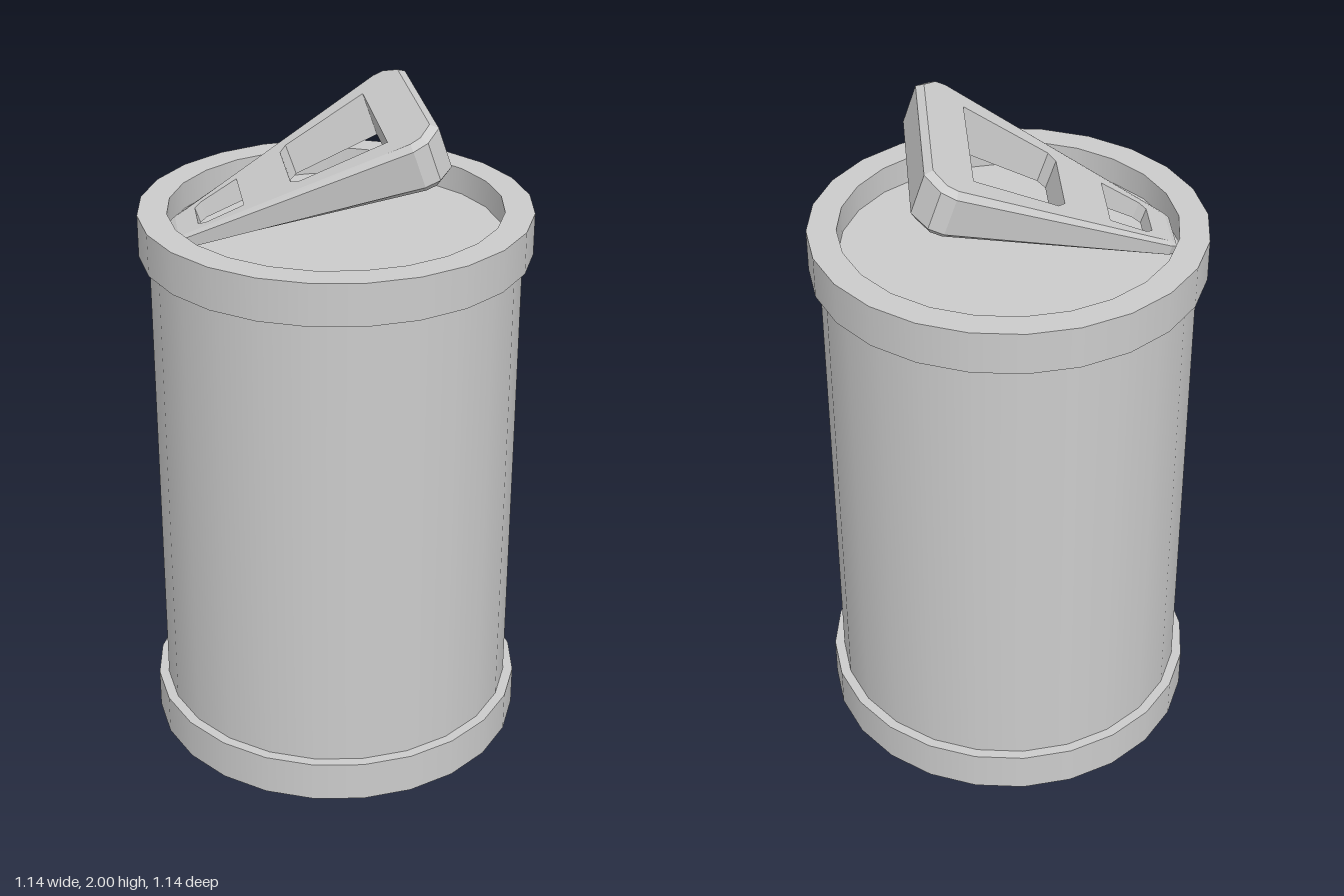
import * as THREE from 'three';

const SIDES = 24;
const material = new THREE.MeshStandardMaterial({ color: 0xcccccc });

// Revolves each run of profile points on its own, so edges between runs stay sharp
function revolve(name, runs) {
  const part = new THREE.Group();
  part.name = name;
  runs.forEach((run, i) => {
    const geometry = new THREE.LatheGeometry(run.map(([r, y]) => new THREE.Vector2(r, y)), SIDES);
    const mesh = new THREE.Mesh(geometry, material);
    mesh.name = `${name}Surface${i + 1}`;
    part.add(mesh);
  });
  return part;
}

// Turns a profile into separate straight runs
const straightRuns = (points) => points.slice(1).map((p, i) => [points[i], p]);

// Completes half an outline by mirroring it across the tab's centre line
const mirrored = (half) => [...half, ...half.map(([u, w]) => [u, -w]).reverse()];

// Wedge-shaped pull tab with bevelled rims and two windows
function createTab() {
  const outer = mirrored([[0, 0.08], [0.017, 0.095], [0.70, 0.328], [0.745, 0.32], [0.79, 0.26]]);
  const inset = mirrored([[0.015, 0.068], [0.027, 0.079], [0.70, 0.308], [0.732, 0.302], [0.77, 0.25]]);
  const windows = [
    mirrored([[0.079, 0.06], [0.1, 0.08], [0.219, 0.105]]),
    mirrored([[0.364, 0.12], [0.386, 0.15], [0.649, 0.215]]),
  ];
  const positions = [];

  // Thickness grows along the tab; t runs from underside (0) to top (1)
  const at = ([u, w], t) => [u, t * (0.035 + 0.152 * u), w];
  const triangle = (a, b, c) => positions.push(...a, ...b, ...c);

  const band = (low, tLow, high, tHigh) => low.forEach((p, i) => {
    const j = (i + 1) % low.length;
    const a = at(p, tLow), b = at(low[j], tLow), c = at(high[j], tHigh), d = at(high[i], tHigh);
    triangle(a, b, c);
    triangle(a, c, d);
  });

  const cap = (t) => {
    const flat = (loop) => loop.map(([u, w]) => new THREE.Vector2(u, w));
    const points = [inset, ...windows].flat();
    for (const face of THREE.ShapeUtils.triangulateShape(flat(inset), windows.map(flat))) {
      const [a, b, c] = face.map((i) => points[i]);
      const turn = (b[0] - a[0]) * (c[1] - a[1]) - (b[1] - a[1]) * (c[0] - a[0]);
      const facesUp = turn < 0;
      if (facesUp === (t === 1)) triangle(at(a, t), at(b, t), at(c, t));
      else triangle(at(a, t), at(c, t), at(b, t));
    }
  };

  // Lower bevel, side wall, upper bevel
  band(inset, 0, outer, 0.12);
  band(outer, 0.12, outer, 0.88);
  band(outer, 0.88, inset, 1);
  // Window walls face inwards
  windows.forEach((loop) => {
    const reversed = [...loop].reverse();
    band(reversed, 0, reversed, 1);
  });
  cap(0);
  cap(1);

  const geometry = new THREE.BufferGeometry();
  geometry.setAttribute('position', new THREE.Float32BufferAttribute(positions, 3));
  geometry.computeVertexNormals();
  const tab = new THREE.Mesh(geometry, material);
  tab.name = 'pullTab';
  tab.position.set(-0.46, 1.605, 0);
  tab.rotation.z = THREE.MathUtils.degToRad(19);
  return tab;
}

export function createModel() {
  const model = new THREE.Group();
  model.name = 'can';

  // Hollow underside, curving up to the centre
  const dome = [];
  for (let i = 0; i <= 6; i++) {
    const r = (0.49 * i) / 6;
    dome.push([r, 0.1 * (1 - (r / 0.49) ** 2)]);
  }
  model.add(revolve('domedBase', [dome]));

  // Rims, wall and recessed lid
  model.add(revolve('bottomRim', straightRuns([[0.49, 0], [0.57, 0], [0.57, 0.125], [0.54, 0.125]])));
  model.add(revolve('wall', [[[0.54, 0.125], [0.54, 1.56]]]));
  model.add(revolve('topRim', straightRuns([[0.54, 1.56], [0.57, 1.56], [0.57, 1.685], [0.485, 1.685], [0.485, 1.605]])));
  model.add(revolve('lid', [[[0.485, 1.605], [0, 1.605]]]));

  model.add(createTab());
  return model;
}
